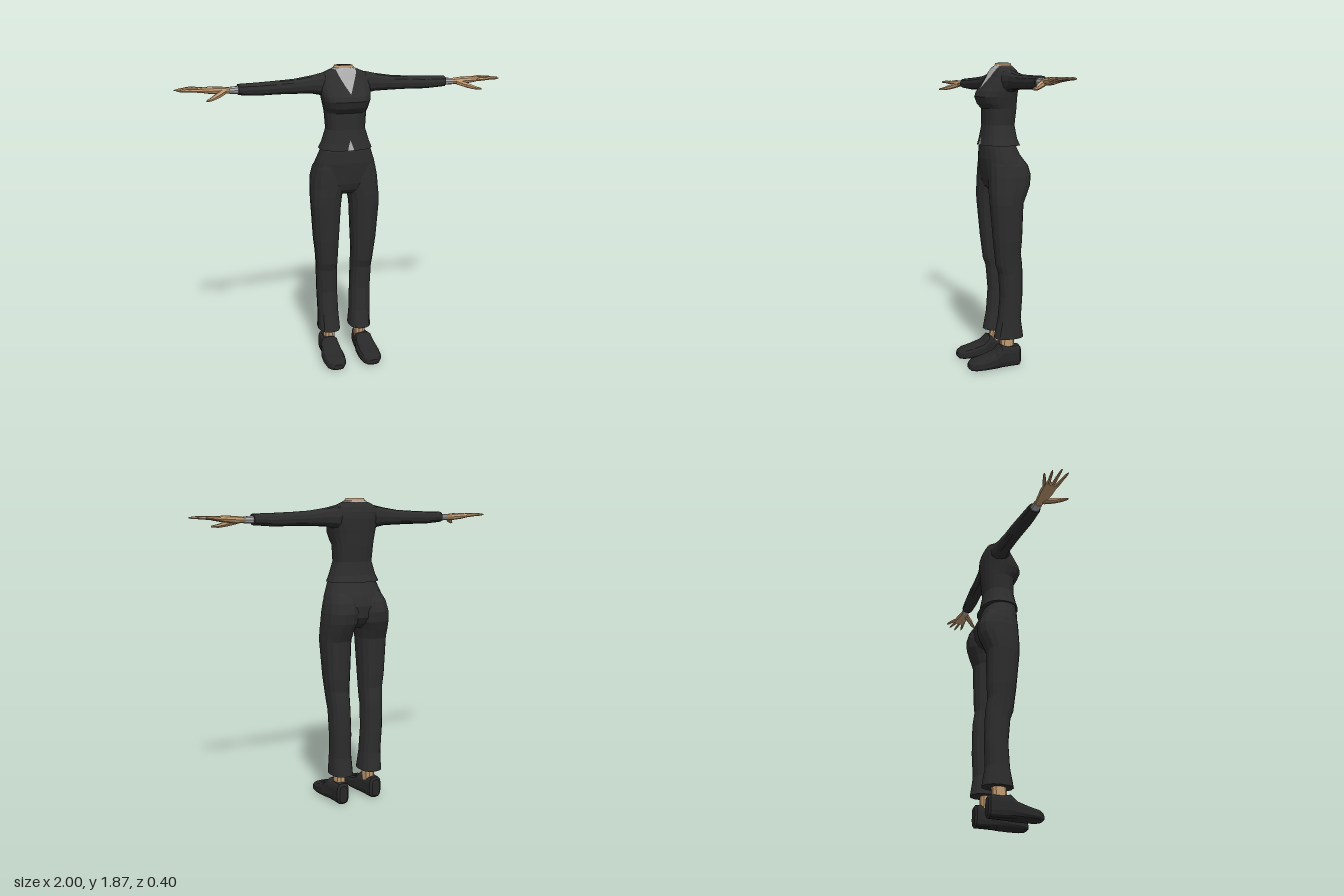
import * as THREE from 'three';
import { mergeGeometries } from 'three/addons/utils/BufferGeometryUtils.js';

const material = (name, color) => {
  const m = new THREE.MeshStandardMaterial({ color });
  m.name = name;
  return m;
};

// Faceted geometry from a list of triangle corner points
function faceted(points) {
  const g = new THREE.BufferGeometry().setFromPoints(points);
  g.computeVertexNormals();
  return g;
}

const superPoint = (angle, p) => [Math.cos(angle), Math.sin(angle)]
  .map(v => Math.sign(v) * Math.abs(v) ** (2 / p));

// How (t, a, b) of a section map to x, y, z for each loft axis
const AXES = {
  x: (t, a, b) => new THREE.Vector3(t, b, a),
  y: (t, a, b) => new THREE.Vector3(a, t, b),
  z: (t, a, b) => new THREE.Vector3(b, a, t),
};

// Closed loft through rounded sections [t, a0, a1, b0, b1]
function loft(axis, sections, n = 12, p = 2.3, caps = true) {
  const rows = [...sections].sort((s, r) => s[0] - r[0]);
  const rings = rows.map(([t, a0, a1, b0, b1]) => Array.from({ length: n }, (_, j) => {
    const [c, s] = superPoint((j / n) * Math.PI * 2, p);
    return AXES[axis](t, (a0 + a1) / 2 + c * (a1 - a0) / 2, (b0 + b1) / 2 + s * (b1 - b0) / 2);
  }));
  const centre = ([t, a0, a1, b0, b1]) => AXES[axis](t, (a0 + a1) / 2, (b0 + b1) / 2);
  const first = rings[0], last = rings[rings.length - 1], pts = [];
  for (let j = 0; j < n; j++) {
    const k = (j + 1) % n;
    for (let i = 0; i < rings.length - 1; i++) {
      const [lo, hi] = [rings[i], rings[i + 1]];
      pts.push(lo[j], hi[j], hi[k], lo[j], hi[k], lo[k]);
    }
    if (caps) {
      pts.push(centre(rows[0]), first[j], first[k]);
      pts.push(centre(rows[rows.length - 1]), last[k], last[j]);
    }
  }
  return faceted(pts);
}

// Tapered finger along a chain of [x, y, z, radius]
function finger(chain) {
  const parts = [];
  for (let i = 0; i < chain.length - 1; i++) {
    const a = new THREE.Vector3(...chain[i]), b = new THREE.Vector3(...chain[i + 1]);
    const dir = b.clone().sub(a);
    const g = new THREE.CylinderGeometry(chain[i + 1][3], chain[i][3], dir.length(), 6);
    g.applyQuaternion(new THREE.Quaternion().setFromUnitVectors(new THREE.Vector3(0, 1, 0), dir.normalize()));
    g.translate(...a.add(b).multiplyScalar(0.5).toArray());
    parts.push(g.toNonIndexed());
  }
  const g = mergeGeometries(parts);
  g.computeVertexNormals();
  return g;
}

// Copy reflected across x = 0, with corner order restored
function mirrored(g) {
  const src = g.attributes.position, pts = [];
  for (let i = 0; i < src.count; i += 3) {
    for (const k of [0, 2, 1]) {
      const v = new THREE.Vector3().fromBufferAttribute(src, i + k);
      v.x *= -1;
      pts.push(v);
    }
  }
  return faceted(pts);
}

// Jacket profile, bottom to top: height, half width, front z, back z
const TORSO = [
  [1.38, 0.163, 0.085, -0.157], [1.42, 0.145, 0.075, -0.14], [1.5, 0.12, 0.062, -0.127],
  [1.6, 0.127, 0.064, -0.138], [1.63, 0.135, 0.09, -0.14], [1.67, 0.145, 0.105, -0.142],
  [1.7, 0.15, 0.094, -0.144], [1.75, 0.155, 0.055, -0.146], [1.79, 0.155, 0.025, -0.142],
  [1.82, 0.142, 0.008, -0.134], [1.84, 0.1, -0.004, -0.125], [1.848, 0.08, -0.01, -0.12],
];
const TORSO_P = 2.4;

// Depth of the jacket front at (x, y)
function frontZ(x, y) {
  let i = 0;
  while (i < TORSO.length - 2 && TORSO[i + 1][0] < y) i++;
  const f = (y - TORSO[i][0]) / (TORSO[i + 1][0] - TORSO[i][0]);
  const [, w, zf, zb] = TORSO[i].map((v, k) => THREE.MathUtils.lerp(v, TORSO[i + 1][k], f));
  const bulge = Math.max(0, 1 - Math.abs(x / w) ** TORSO_P) ** (1 / TORSO_P);
  return (zf + zb) / 2 + bulge * (zf - zb) / 2;
}

// Thin panel lying on the jacket front, rows of [y, half width]
function frontPanel(rows, columns = 8) {
  const grid = rows.map(([y, w]) => Array.from({ length: columns + 1 }, (_, j) => {
    const x = w * (2 * j / columns - 1);
    return new THREE.Vector3(x, y, frontZ(x, y) + 0.004);
  }));
  const pts = [];
  for (let i = 0; i < rows.length - 1; i++) for (let j = 0; j < columns; j++) {
    const [lo, hi] = [grid[i], grid[i + 1]];
    pts.push(lo[j], lo[j + 1], hi[j + 1], lo[j], hi[j + 1], hi[j]);
  }
  return faceted(pts);
}

export function createModel() {
  const model = new THREE.Group();
  model.name = 'suitedFigure';
  const suit = material('charcoal suit', 0x2d2d2d);
  const leather = material('black shoe leather', 0x282828);
  const skin = material('skin', 0xc09a70);
  const shirt = material('grey shirt', 0xaaaaaa);

  const add = (name, geometry, mat) => {
    const mesh = new THREE.Mesh(geometry, mat);
    mesh.name = name;
    model.add(mesh);
  };
  const addPair = (name, geometry, mat) => {
    add('left' + name, geometry, mat);
    add('right' + name, mirrored(geometry), mat);
  };
  const upright = rows => rows.map(([y, w, zf, zb]) => [y, -w, w, zb, zf]);

  // Jacket body, shirt front and hem opening
  add('jacket', loft('y', upright(TORSO), 20, TORSO_P), suit);
  add('shirtFront', frontPanel([[1.715, 0.001], [1.75, 0.02], [1.79, 0.04], [1.82, 0.053], [1.84, 0.06], [1.848, 0.06]]), shirt);
  add('hemOpening', frontPanel([[1.382, 0.02], [1.42, 0.008], [1.44, 0.001]], 2), shirt);

  // Collar and open neck
  add('collar', loft('y', upright([[1.825, 0.084, 0.002, -0.126], [1.85, 0.076, -0.008, -0.12], [1.856, 0.066, -0.014, -0.116]]), 14), shirt);
  add('neck', loft('y', upright([[1.84, 0.066, -0.012, -0.115], [1.862, 0.06, -0.018, -0.112], [1.87, 0.054, -0.02, -0.11]]), 14), skin);
  add('neckOpening', loft('y', upright([[1.866, 0.04, -0.027, -0.103], [1.8715, 0.04, -0.027, -0.103]]), 14), suit);

  // Trousers: hips, then legs whose tops form the seat
  add('hips', loft('y', upright([
    [1.4, 0.14, 0.066, -0.12], [1.37, 0.156, 0.073, -0.132], [1.3, 0.183, 0.075, -0.163],
    [1.24, 0.198, 0.068, -0.18], [1.17, 0.205, 0.058, -0.172], [1.13, 0.18, 0.045, -0.145], [1.1, 0.1, 0.01, -0.1],
  ]), 20, 2.4), suit);
  addPair('TrouserLeg', loft('y', [
    [1.32, 0.01, 0.165, -0.14, 0.05], [1.26, 0.004, 0.193, -0.184, 0.058], [1.2, 0.002, 0.206, -0.2, 0.06],
    [1.14, 0.006, 0.211, -0.193, 0.061], [1.09, 0.022, 0.214, -0.172, 0.061], [1.03, 0.032, 0.215, -0.146, 0.058],
    [0.8, 0.043, 0.2, -0.14, 0.037], [0.72, 0.047, 0.19, -0.134, 0.028], [0.65, 0.049, 0.183, -0.145, 0.02],
    [0.6, 0.049, 0.18, -0.148, 0.002], [0.45, 0.046, 0.176, -0.15, -0.01], [0.3, 0.041, 0.172, -0.142, 0.002],
    [0.185, 0.033, 0.173, -0.16, 0.026],
  ], 14, 2.4), suit);

  // Ankles and shoes
  addPair('Ankle', loft('y', [[0.1, 0.07, 0.14, -0.1, -0.01], [0.22, 0.066, 0.136, -0.104, -0.02]], 10), skin);
  addPair('Shoe', loft('z', [
    [-0.136, 0.012, 0.12, 0.09, 0.145], [-0.125, 0, 0.135, 0.075, 0.158], [-0.05, 0, 0.134, 0.066, 0.163],
    [-0.005, 0, 0.143, 0.058, 0.172], [0.03, 0, 0.105, 0.051, 0.182], [0.1, 0, 0.081, 0.048, 0.187],
    [0.16, 0, 0.067, 0.055, 0.181], [0.19, 0.003, 0.053, 0.075, 0.16], [0.2, 0.012, 0.042, 0.09, 0.145],
  ], 14, 3.2), leather);

  // Sleeves and shirt cuffs
  addPair('Sleeve', loft('x', [
    [0.08, -0.12, -0.004, 1.7, 1.836], [0.13, -0.122, 0, 1.695, 1.83], [0.2, -0.108, -0.018, 1.709, 1.815],
    [0.3, -0.101, -0.016, 1.712, 1.8], [0.4, -0.097, -0.009, 1.714, 1.794], [0.52, -0.086, -0.001, 1.713, 1.789],
    [0.64, -0.072, 0.002, 1.722, 1.786],
  ], 12), suit);
  addPair('Cuff', loft('x', [[0.63, -0.062, -0.006, 1.73, 1.775], [0.69, -0.06, -0.007, 1.732, 1.771]], 10), shirt);

  // Hands: palm, four fingers and thumb
  addPair('Palm', loft('x', [
    [0.67, -0.055, -0.012, 1.737, 1.766], [0.74, -0.062, 0, 1.732, 1.775],
    [0.8, -0.07, 0.014, 1.738, 1.777], [0.87, -0.068, 0.016, 1.75, 1.773],
  ], 10, 2.5), skin);
  const fingers = {
    LittleFinger: [0.84, -0.06, 0.933, -0.1],
    RingFinger: [0.85, -0.042, 0.972, -0.066],
    MiddleFinger: [0.85, -0.017, 1, -0.02],
    IndexFinger: [0.85, 0.006, 0.984, 0.026],
  };
  for (const [name, [x0, z0, x1, z1]] of Object.entries(fingers)) {
    const at = (f, y, r) => [x0 + (x1 - x0) * f, y, z0 + (z1 - z0) * f, r];
    addPair(name, finger([at(0, 1.761, 0.012), at(0.55, 1.766, 0.0095), at(0.85, 1.766, 0.0075), at(1, 1.766, 0.003)]), skin);
  }
  addPair('Thumb', finger([
    [0.725, 1.747, -0.015, 0.018], [0.77, 1.73, 0.03, 0.016], [0.805, 1.718, 0.062, 0.011], [0.835, 1.714, 0.092, 0.005],
  ]), skin);

  return model;
}
